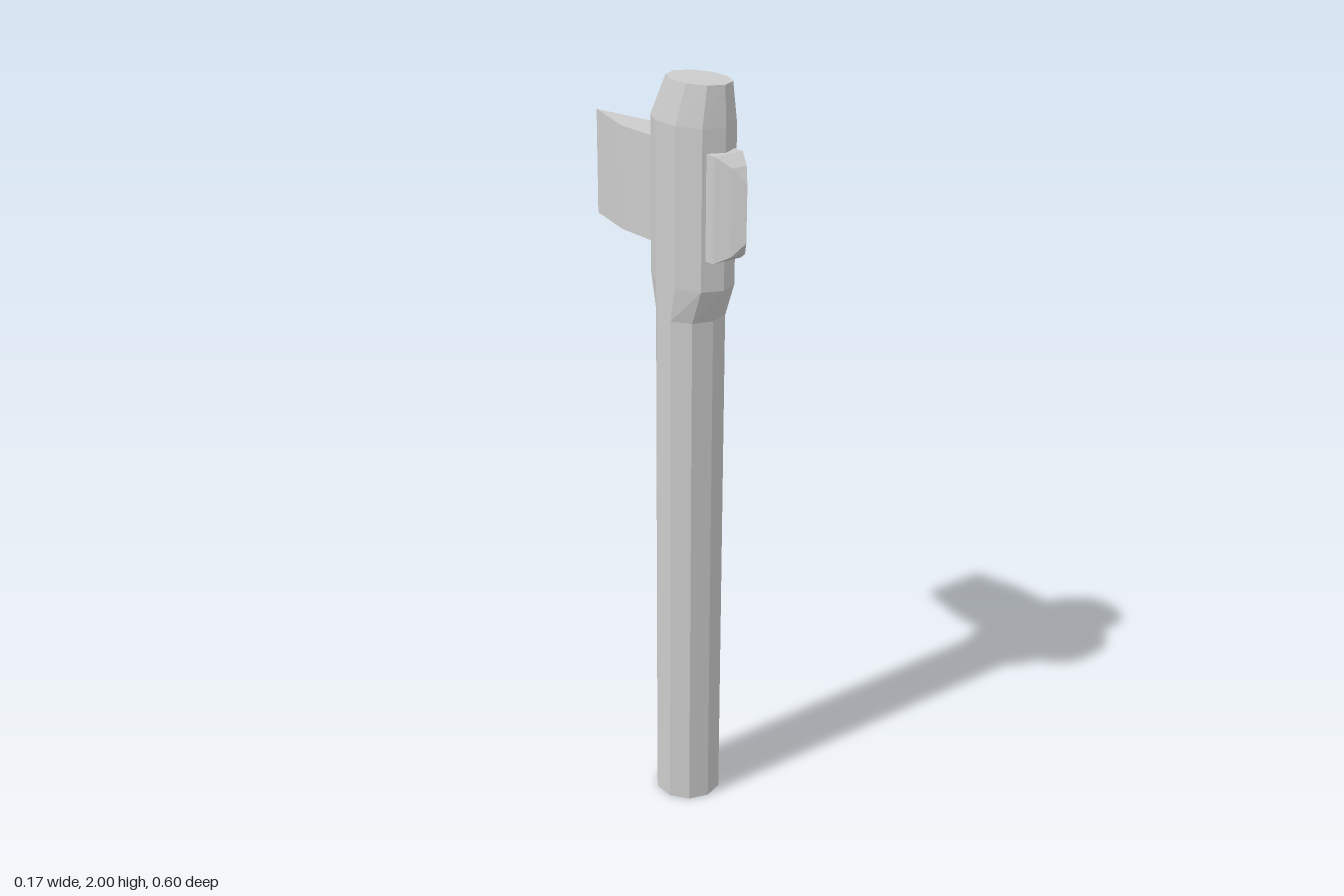
import * as THREE from 'three';

const material = new THREE.MeshStandardMaterial({
  color: 0xcccccc, flatShading: true,
});

// Joins cross-sections into a closed solid; each ring runs counter-clockwise
// when looked at against the direction in which the rings advance.
function loft(name, rings) {
  const positions = [];
  const tri = (a, b, c) => {
    if (new THREE.Triangle(a, b, c).getArea() < 1e-8) return;
    for (const p of [a, b, c]) positions.push(p.x, p.y, p.z);
  };
  const n = rings[0].length;
  for (let r = 0; r < rings.length - 1; r++) {
    const a = rings[r], b = rings[r + 1];
    for (let i = 0; i < n; i++) {
      const j = (i + 1) % n;
      tri(a[i], a[j], b[j]);
      tri(a[i], b[j], b[i]);
    }
  }
  const first = rings[0], last = rings[rings.length - 1];
  for (let i = 1; i < n - 1; i++) {
    tri(first[0], first[i + 1], first[i]);
    tri(last[0], last[i], last[i + 1]);
  }
  const geometry = new THREE.BufferGeometry();
  geometry.setAttribute('position', new THREE.Float32BufferAttribute(positions, 3));
  geometry.computeVertexNormals();
  const mesh = new THREE.Mesh(geometry, material);
  mesh.name = name;
  return mesh;
}

// Ten-sided oval at height y, spanning z0..z1, with x radius rx
function oval([y, rx, z0, z1]) {
  return Array.from({ length: 10 }, (_, i) => {
    const a = (i / 10) * Math.PI * 2;
    return new THREE.Vector3(
      rx * Math.sin(a), y, (z0 + z1) / 2 + ((z1 - z0) / 2) * Math.cos(a));
  });
}

// Upright rectangle at depth z, w and h being half sizes
const HEAD_Y = 1.71;
function slab([z, w, h]) {
  return [[-1, -1], [1, -1], [1, 1], [-1, 1]].map(
    ([sx, sy]) => new THREE.Vector3(sx * w, HEAD_Y + sy * h, z));
}

export function createModel() {
  const model = new THREE.Group();
  model.name = 'axe';

  // Straight shaft, swelling into a socket with a tapered top
  model.add(loft('handle', [
    [0, 0.089, 0, 0.18],
    [1.41, 0.089, 0, 0.18],
    [1.5, 0.089, -0.026, 0.22],
    [1.9, 0.089, -0.026, 0.22],
    [2, 0.066, 0.02, 0.215],
  ].map(oval)));

  // Wedge blade narrowing to a vertical cutting edge at the back
  model.add(loft('blade', [
    [-0.3, 0, 0.137],
    [-0.135, 0.043, 0.133],
    [0.06, 0.043, 0.133],
  ].map(slab)));

  // Rounded butt of the head, closing to a short vertical ridge
  model.add(loft('poll', [
    [0.1, 0.043, 0.133],
    [0.23, 0.043, 0.131],
    [0.27, 0.022, 0.108],
    [0.3, 0, 0.07],
  ].map(slab)));

  return model;
}
